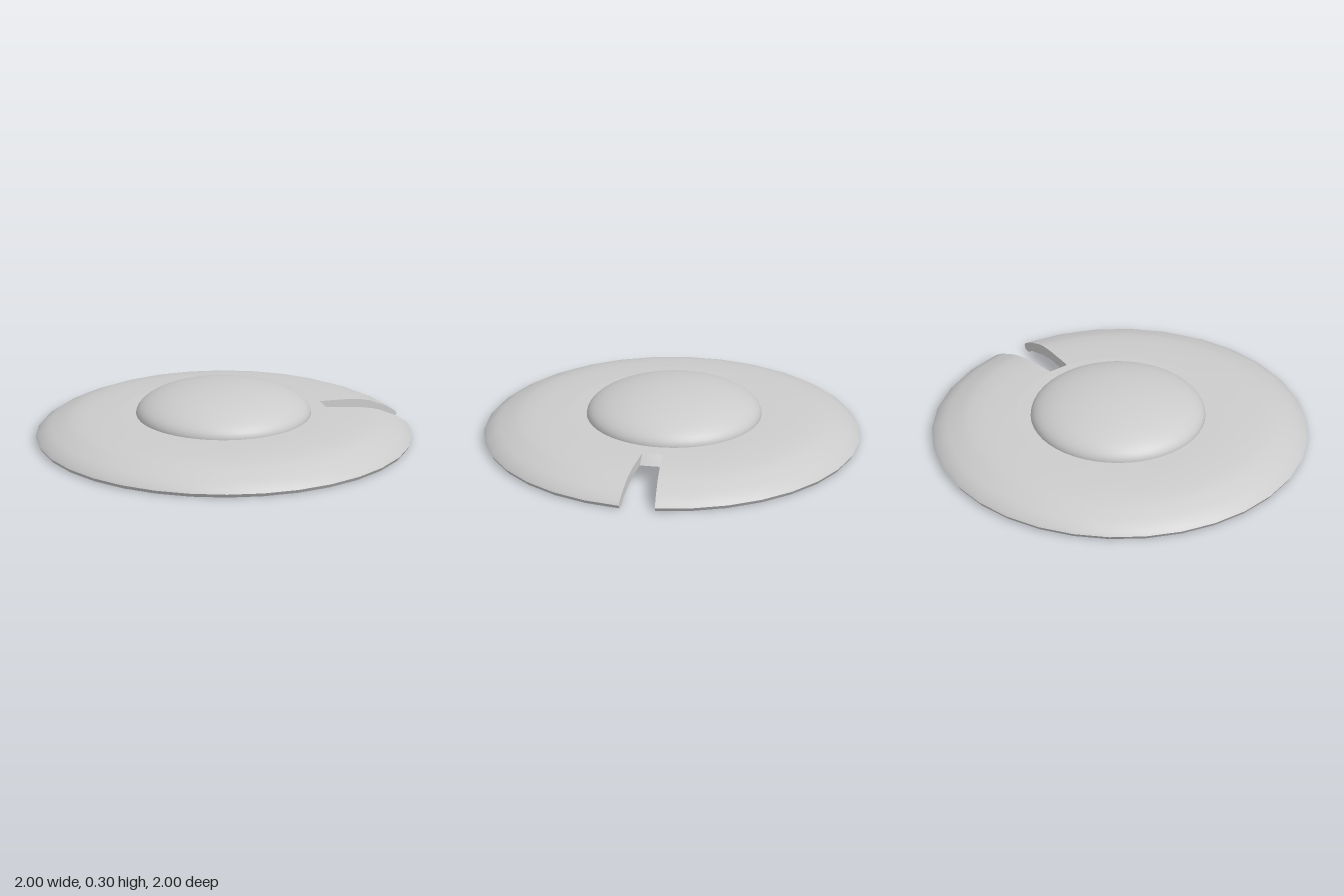
import * as THREE from 'three';
import { toCreasedNormals } from 'three/addons/utils/BufferGeometryUtils.js';

const SIDES = 32;
const STEP = (Math.PI * 2) / SIDES;
const CREASE = 0.5;

export function createModel() {
  const group = new THREE.Group();
  const grey = new THREE.MeshStandardMaterial({ color: 0xcccccc });
  const greyDouble = new THREE.MeshStandardMaterial({ color: 0xcccccc, side: THREE.DoubleSide });
  const add = (name, geometry, material = grey) => {
    const mesh = new THREE.Mesh(geometry, material);
    mesh.name = name;
    group.add(mesh);
    return mesh;
  };
  const points = (list) => list.map(([r, y]) => new THREE.Vector2(r, y));

  // Full centre disc; its edge closes the inner end of the slot
  const core = points([[0, 0.09], [0.6, 0.09], [0.555, 0.143], [0, 0.147]]);
  add('centreDisc', toCreasedNormals(new THREE.LatheGeometry(core, SIDES), CREASE));

  // Hollow stepped brim, one segment short to leave the slot open
  const brim = points([
    [0.6, 0.09], [0.72, 0.083], [0.81, 0.065], [0.86, 0.045], [0.91, 0.03], [0.955, 0.0],
    [0.985, 0.0], [0.998, 0.02], [0.985, 0.037], [0.945, 0.065], [0.915, 0.08],
    [0.89, 0.09], [0.845, 0.11], [0.8, 0.122], [0.73, 0.133], [0.62, 0.14], [0.555, 0.143],
  ]);
  add('brim', toCreasedNormals(
    new THREE.LatheGeometry(brim, SIDES - 1, Math.PI / 2 + STEP, Math.PI * 2 - STEP), CREASE));

  // Cut faces on both sides of the slot
  [0, STEP].forEach((angle, i) => {
    const wall = add(i ? 'slotWallBack' : 'slotWallFront',
      new THREE.ShapeGeometry(new THREE.Shape(brim)), greyDouble);
    wall.rotation.y = angle;
  });

  // Shallow smooth dome
  const dome = add('dome',
    new THREE.SphereGeometry(0.464, 48, 16, 0, Math.PI * 2, 0, Math.PI / 2));
  dome.scale.y = 0.152 / 0.464;
  dome.position.set(0, 0.145, -0.012);

  return group;
}
